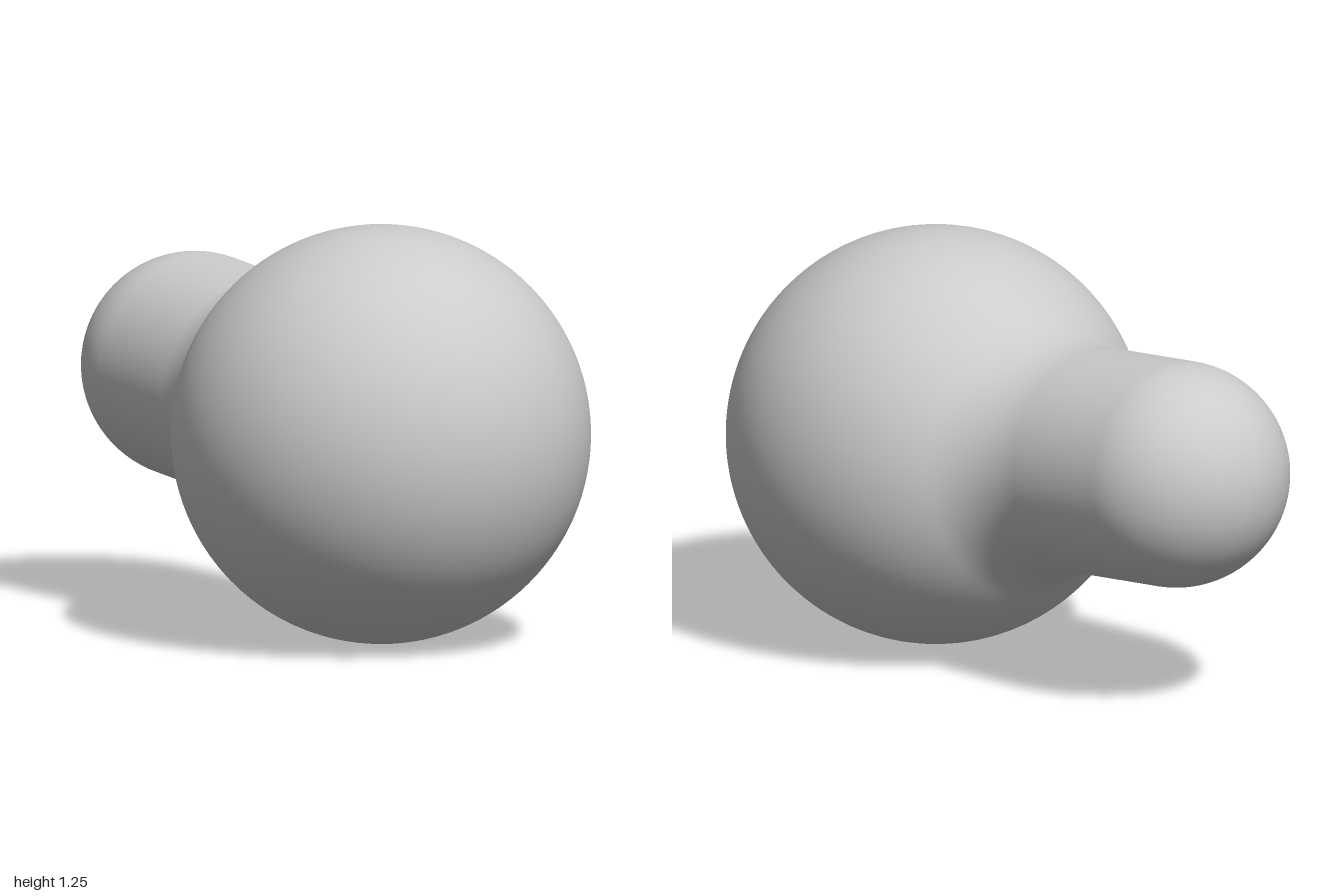
import * as THREE from 'three';

// Points on an arc in the (radius, axis) plane
function arc(cr, ct, radius, from, to, n) {
  return Array.from({ length: n + 1 }, (_, i) => {
    const a = from + (to - from) * i / n;
    return new THREE.Vector2(Math.max(0, cr + radius * Math.cos(a)), ct + radius * Math.sin(a));
  });
}

export function createModel() {
  const group = new THREE.Group();
  const material = new THREE.MeshStandardMaterial({ color: 0xcccccc });

  const ball = new THREE.Vector3(0, 0.628, 0.374);
  const tip = new THREE.Vector3(0.175, 0.71, -0.66);
  const ballRadius = 0.627, neckRadius = 0.34, fillet = 0.37;
  const axis = tip.clone().sub(ball);
  const length = axis.length();

  // The fillet arc touches both the ball and the straight neck
  const filletR = neckRadius + fillet;
  const filletT = Math.sqrt((ballRadius + fillet) ** 2 - filletR ** 2);
  const joint = Math.atan2(filletT, filletR);

  const profile = [
    ...arc(0, 0, ballRadius, -Math.PI / 2, joint, 56),
    ...arc(filletR, filletT, fillet, Math.PI + joint, Math.PI, 20).slice(1),
    ...arc(0, length, neckRadius, 0, Math.PI / 2, 28),
  ];

  // Round ball flowing into a tilted, round-ended neck
  const body = new THREE.Mesh(new THREE.LatheGeometry(profile, 96), material);
  body.name = 'ballWithRoundedNeck';
  body.position.copy(ball);
  body.quaternion.setFromUnitVectors(new THREE.Vector3(0, 1, 0), axis.normalize());
  group.add(body);
  return group;
}
